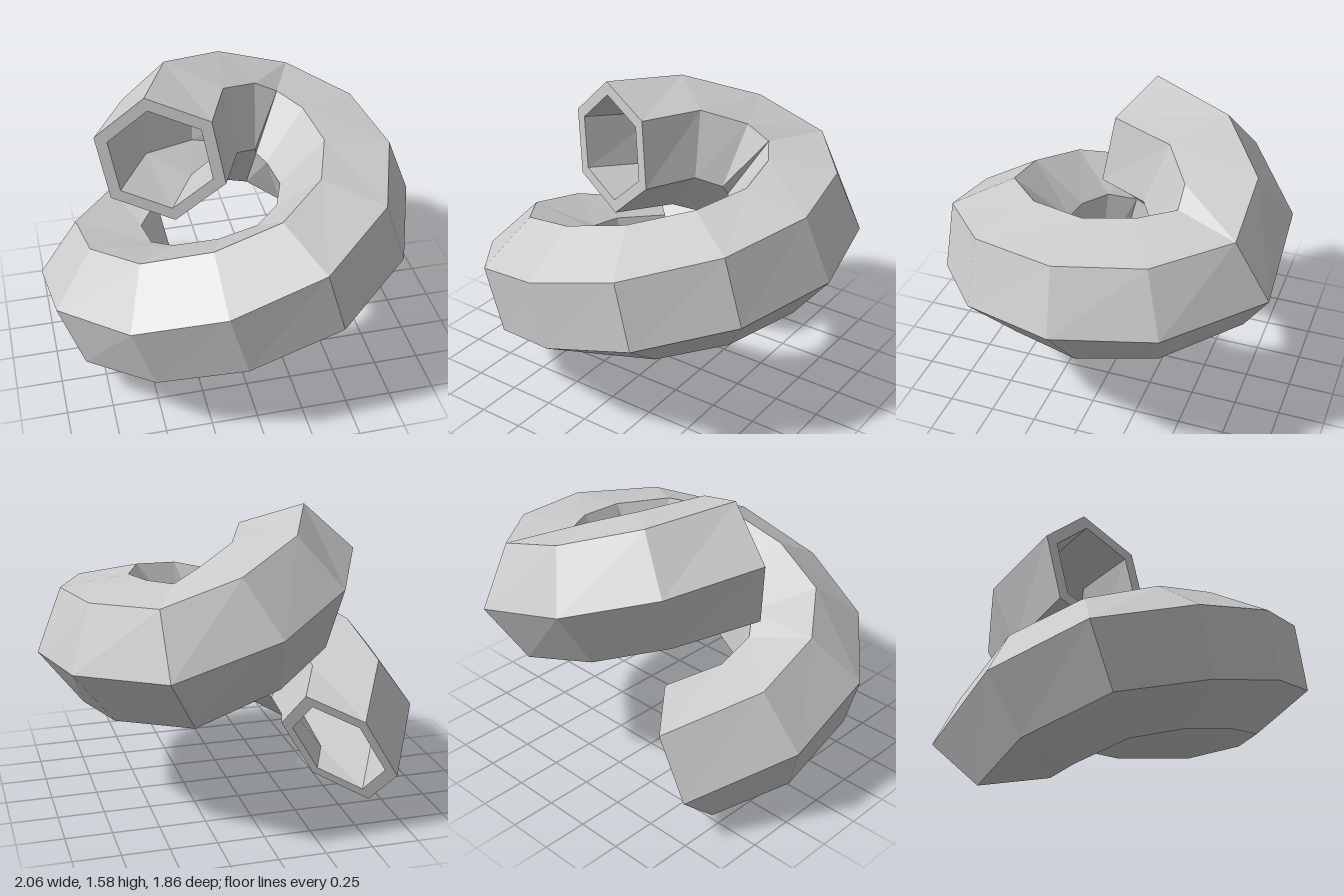
import * as THREE from 'three';

const SIDES = 6;
const OUTER = 0.367;
const INNER = 0.8 * OUTER;

// Centre line of the coil, with one lead point beyond each end to set the end tangents
const path = [
  [-0.145, 0.11, -0.5],
  [-0.5, 0.315, -0.465], [-0.67, 0.4, -0.13], [-0.65, 0.5, 0.23], [-0.44, 0.59, 0.48],
  [-0.1, 0.69, 0.6], [0.26, 0.79, 0.58], [0.54, 0.86, 0.35], [0.67, 0.9, 0],
  [0.6, 0.94, -0.35], [0.38, 0.98, -0.61], [0.09, 1.085, -0.58], [-0.18, 1.18, -0.38],
  [-0.357, 1.225, 0.005],
  [-0.41, 1.24, 0.28],
].map((p) => new THREE.Vector3(...p));

// Ridge line: the first corner of the hexagon at each station
const ridge = [
  [-0.73, 0.25, -0.74], [-1, 0.4, -0.31], [-1, 0.55, 0.22], [-0.73, 0.68, 0.68],
  [-0.26, 0.85, 0.92], [0.22, 0.98, 0.9], [0.66, 1.1, 0.61], [0.89, 1.18, 0.13],
  [0.85, 1.23, -0.36], [0.57, 1.27, -0.75], [0.1, 1.41, -0.75], [-0.25, 1.53, -0.48],
  [-0.42, 1.585, -0.05],
].map((p) => new THREE.Vector3(...p));

// Hexagonal ring at station i, square to the path, with a corner on the ridge
function ring(i, radius) {
  const c = path[i + 1];
  const t = path[i + 2].clone().sub(path[i]).normalize();
  const u = ridge[i].clone().sub(c).projectOnPlane(t).normalize();
  const v = new THREE.Vector3().crossVectors(t, u);
  return Array.from({ length: SIDES }, (_, k) => {
    const a = (k / SIDES) * Math.PI * 2;
    return c.clone()
      .addScaledVector(u, radius * Math.cos(a))
      .addScaledVector(v, radius * Math.sin(a));
  });
}

// Joins successive rings, and the last back to the first, into one closed skin
function skin(rings) {
  const index = [];
  rings.forEach((_, i) => {
    const a = i * SIDES;
    const b = ((i + 1) % rings.length) * SIDES;
    for (let k = 0; k < SIDES; k++) {
      const n = (k + 1) % SIDES;
      index.push(a + k, a + n, b + k, a + n, b + n, b + k);
    }
  });
  const geometry = new THREE.BufferGeometry().setFromPoints(rings.flat());
  geometry.setIndex(index);
  geometry.computeVertexNormals();
  return geometry;
}

export function createModel() {
  const group = new THREE.Group();
  group.name = 'coiledTube';

  // Outer wall forward, end rim, inner wall back, start rim
  const outer = ridge.map((_, i) => ring(i, OUTER));
  const inner = ridge.map((_, i) => ring(i, INNER)).reverse();
  const tube = new THREE.Mesh(
    skin([...outer, ...inner]),
    new THREE.MeshStandardMaterial({ color: 0xcccccc, flatShading: true }),
  );
  tube.name = 'hollowHexagonalTube';
  group.add(tube);
  return group;
}
